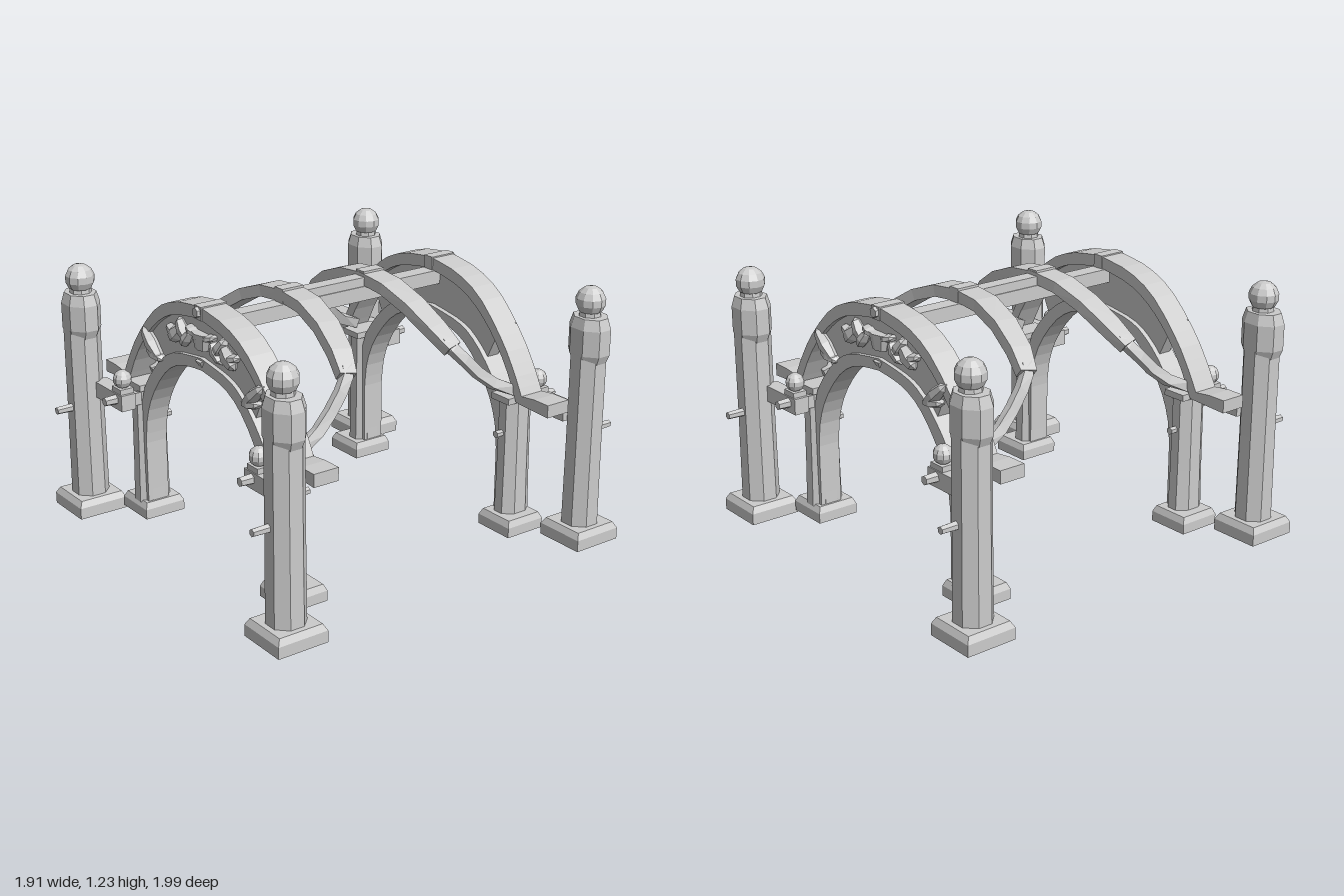
import * as THREE from 'three';

const V2 = (x, y) => new THREE.Vector2(x, y);
const V3 = (x, y, z) => new THREE.Vector3(x, y, z);

export function createModel() {
  const root = new THREE.Group();
  const mat = new THREE.MeshStandardMaterial({ color: 0xcccccc, flatShading: true });

  // Adds a part, mirrored across x and/or z with the winding kept outward.
  function place(name, geo, xs = [1, -1], zs = [1, -1]) {
    const base = geo.index ? geo.toNonIndexed() : geo;
    for (const sx of xs) for (const sz of zs) {
      const g = base.clone().scale(sx, 1, sz);
      if (sx * sz < 0) {
        const p = g.attributes.position, a = V3(), b = V3();
        for (let i = 0; i < p.count; i += 3) {
          a.fromBufferAttribute(p, i + 1);
          b.fromBufferAttribute(p, i + 2);
          p.setXYZ(i + 1, b.x, b.y, b.z);
          p.setXYZ(i + 2, a.x, a.y, a.z);
        }
      }
      g.computeVertexNormals();
      const mesh = new THREE.Mesh(g, mat);
      mesh.name = name;
      root.add(mesh);
    }
  }

  const box = (x0, x1, y0, y1, z0, z1) => new THREE.BoxGeometry(x1 - x0, y1 - y0, z1 - z0)
    .translate((x0 + x1) / 2, (y0 + y1) / 2, (z0 + z1) / 2);
  const ball = (r, x, y, z) => new THREE.SphereGeometry(r, 10, 7).translate(x, y, z);
  const peg = (r, x, y, z0, z1) => new THREE.CylinderGeometry(r * 0.85, r, z1 - z0, 6)
    .rotateX(Math.PI / 2).translate(x, y, (z0 + z1) / 2);
  // Prism with flat sides facing the axes; profile radii are measured to the flats.
  const prism = (n, profile) => new THREE.LatheGeometry(
    profile.map(([r, y]) => V2(r / Math.cos(Math.PI / n), y)), n, Math.PI / n);
  // Square foot, hollow underneath
  const foot = (r, y0, y1) => prism(4, [[0, y0 + 0.04], [r * 0.7, y0 + 0.03], [r * 0.86, y0],
    [r, y0], [r, y1 - 0.03], [r * 0.87, y1], [0, y1]]);

  // Outer posts
  const ox = 0.83, oz = 0.835;
  place('outerPostFoot', foot(0.125, 0, 0.085).translate(ox, 0, oz));
  place('outerPostShaft', prism(8, [[0.083, 0.07], [0.08, 0.5], [0.08, 0.92]]).translate(ox, 0, oz));
  place('outerPostHead', prism(8, [[0, 0.88], [0.082, 0.88], [0.098, 0.92], [0.098, 1.04], [0.082, 1.09], [0, 1.09]])
    .scale(1, 1, 0.82).translate(ox, 0, oz));
  place('outerPostNeck', prism(8, [[0.05, 1.07], [0.045, 1.12]]).translate(ox - 0.005, 0, oz));
  place('outerPostBall', ball(0.07, ox - 0.005, 1.157, oz));
  place('outerPostPeg', peg(0.021, 0.825, 0.53, 0.9, 0.995));

  // Inner posts
  place('innerPostFoot', foot(0.105, 0.022, 0.1).translate(0.585, 0, 0.625));
  place('innerPostShaft', prism(8, [[0.063, 0.09], [0.06, 0.3], [0.058, 0.66], [0, 0.67]])
    .scale(1, 1, 1.3).translate(0.567, 0, 0.643));
  place('innerPostCap', box(0.51, 0.63, 0.66, 0.69, 0.545, 0.72));
  place('innerPostPeg', peg(0.018, 0.565, 0.5, 0.53, 0.58));

  // Rails between inner and outer posts, with finials
  place('rail', box(0.51, 0.78, 0.583, 0.66, 0.745, 0.82));
  place('railBlock', box(0.53, 0.6, 0.59, 0.65, 0.7, 0.75));
  place('railCollar', box(0.525, 0.605, 0.655, 0.685, 0.745, 0.815));
  place('railBall', ball(0.045, 0.565, 0.722, 0.78));
  place('railPeg', peg(0.025, 0.565, 0.63, 0.81, 0.88));

  // Mirrored band in the xy plane between an upper and a lower half-curve, extruded along z
  const smooth = (pts, n, tail = []) => new THREE.SplineCurve(pts.map(p => V2(...p))).getPoints(n)
    .concat(tail.map(p => V2(...p)));
  function band(upper, lower, z0, z1) {
    const flip = a => a.slice(1).map(p => V2(-p.x, p.y));
    const pts = [...upper.slice().reverse(), ...flip(upper), ...flip(lower).reverse(), ...lower];
    return new THREE.ExtrudeGeometry(new THREE.Shape(pts), { depth: z1 - z0, bevelEnabled: false })
      .translate(0, 0, z0);
  }
  const outerTop = smooth([[0, 1.21], [0.2, 1.18], [0.37, 1.1], [0.53, 0.94], [0.62, 0.81], [0.675, 0.71]], 12,
    [[0.76, 0.72], [0.85, 0.72]]);
  const outerLow = smooth([[0, 1.155], [0.2, 1.12], [0.33, 1.06], [0.45, 0.96], [0.56, 0.82], [0.64, 0.67]], 12,
    [[0.85, 0.66]]);
  const innerTop = smooth([[0, 0.97], [0.2, 0.94], [0.31, 0.89], [0.42, 0.79], [0.52, 0.64], [0.55, 0.4]], 12,
    [[0.55, 0.09]]);
  const innerLow = smooth([[0, 0.915], [0.17, 0.89], [0.3, 0.82], [0.42, 0.68], [0.485, 0.54], [0.505, 0.4]], 12,
    [[0.505, 0.09]]);
  place('outerArch', band(outerTop, outerLow, 0.58, 0.705), [1]);
  place('innerArch', band(innerTop, innerLow, 0.59, 0.7), [1]);

  // Panel filling the crown between both arches
  const panelTop = smooth([[0, 1.17], [0.2, 1.135], [0.33, 1.075], [0.47, 0.96]], 8);
  const panelLow = smooth([[0, 0.95], [0.2, 0.92], [0.31, 0.87], [0.39, 0.8]], 8);
  place('archPanel', band(panelTop, panelLow, 0.615, 0.68), [1]);

  // Keystones and crown pegs
  place('crownPeg', peg(0.028, 0, 1.185, 0.69, 0.725), [1]);
  place('crownKey', box(-0.028, 0.028, 1.15, 1.213, 0.575, 0.71), [1]);
  place('innerKey', new THREE.ConeGeometry(0.035, 0.05, 5).rotateX(Math.PI).translate(0, 0.935, 0.69), [1]);

  // Carved leaves: faceted lozenges [x, y, length, width, angle, z]
  const leaf = ([x, y, l, w, a, z]) => new THREE.SphereGeometry(1, 6, 4).rotateZ(Math.PI / 2)
    .scale(l / 2, w / 2, 0.038).rotateZ(a).translate(x, y, z);
  place('endLeaf', leaf([0.415, 0.925, 0.2, 0.065, 0.7, 0.7]));
  place('endLeafLobe', leaf([0.39, 0.88, 0.14, 0.05, 0.2, 0.695]));
  const carving = [[0.21, 1.03, 0.13, 0.08, -0.7, 0.69], [0.15, 1.06, 0.13, 0.06, 0.9, 0.69],
    [0.12, 1.03, 0.12, 0.05, -0.9, 0.69], [0.24, 1.035, 0.1, 0.045, 0.3, 0.685], [0.07, 1.08, 0.09, 0.04, 0.3, 0.69]];
  carving.forEach(c => place('carvedLeaf', leaf(c)));
  place('carvedCup', new THREE.CylinderGeometry(0.065, 0.045, 0.075, 8).scale(1, 1, 0.6).translate(0, 1.05, 0.69), [1]);

  // Ribs: rectangular sections [x, y, z, width, thickness], broad over the top and slim on the legs
  const rib = [[0, 1.18, 0.225, 0.115, 0.055], [0.15, 1.165, 0.228, 0.115, 0.055], [0.3, 1.11, 0.242, 0.11, 0.055],
    [0.43, 1.03, 0.265, 0.1, 0.055], [0.52, 0.955, 0.295, 0.08, 0.05], [0.545, 0.9, 0.345, 0.05, 0.04],
    [0.56, 0.83, 0.41, 0.045, 0.04], [0.58, 0.765, 0.49, 0.045, 0.04], [0.6, 0.715, 0.6, 0.045, 0.04]];
  function sweep(rows) {
    const c = rows.map(r => V3(r[0], r[1], r[2])), pos = [], idx = [];
    rows.forEach((r, i) => {
      const t = i ? c[Math.min(i + 1, c.length - 1)].clone().sub(c[i - 1]).normalize() : V3(1, 0, 0);
      // The band lies across z on top and turns to lie across y along the legs.
      const side = i < 5 ? V3(0, 0, 1) : V3(0, 1, 0.6);
      const s = side.addScaledVector(t, -side.dot(t)).normalize();
      const n = V3().crossVectors(s, t);
      for (const [a, b] of [[1, 1], [-1, 1], [-1, -1], [1, -1]]) {
        const p = c[i].clone().addScaledVector(s, a * r[3] / 2).addScaledVector(n, b * r[4] / 2);
        pos.push(p.x, p.y, p.z);
      }
      if (i) for (let k = 0; k < 4; k++) {
        const a = (i - 1) * 4 + k, b = (i - 1) * 4 + (k + 1) % 4;
        idx.push(a, a + 4, b, b, a + 4, b + 4);
      }
    });
    const e = (rows.length - 1) * 4;
    idx.push(0, 1, 2, 0, 2, 3, e, e + 2, e + 1, e, e + 3, e + 2);
    const g = new THREE.BufferGeometry();
    g.setAttribute('position', new THREE.Float32BufferAttribute(pos, 3));
    g.setIndex(idx);
    return g;
  }
  place('ribTop', sweep(rib.slice(0, 5)));
  place('ribLeg', sweep([[0.5, 0.97, 0.285, 0.06, 0.045], ...rib.slice(4).map(r => [...r.slice(0, 3), 0.048, 0.04])]
    .map((r, i) => i ? r : [0.505, 0.985, 0.28, 0.05, 0.04])));
  place('ribKey', box(-0.03, 0.03, 1.14, 1.215, 0.17, 0.285), [1]);

  // Ridge beam
  place('ridgeBeam', box(-0.04, 0.04, 1.08, 1.148, -0.62, 0.62), [1], [1]);
  place('ridgeCap', box(-0.035, 0.035, 1.14, 1.19, -0.2, 0.2), [1], [1]);
  return root;
}
